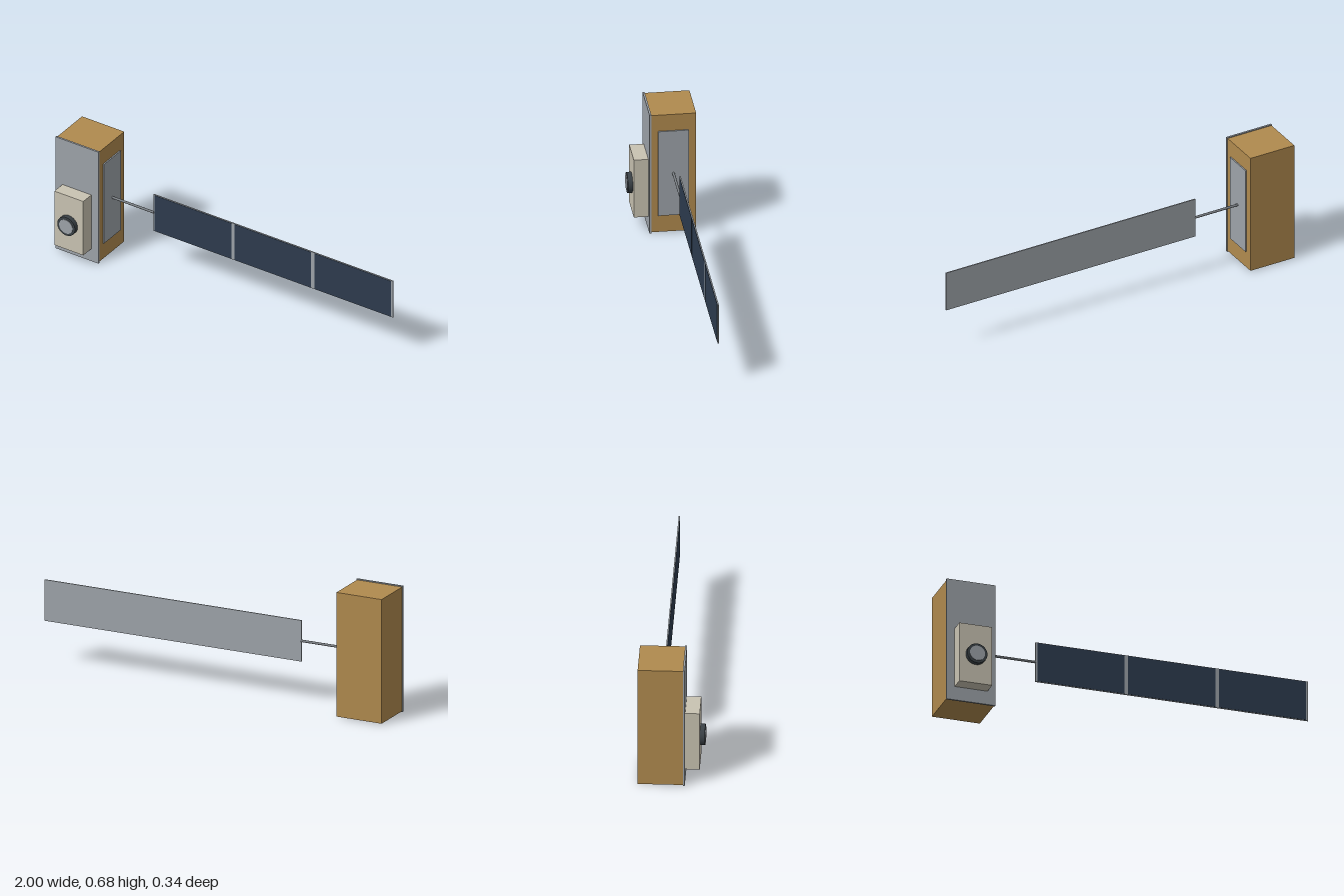
import * as THREE from 'three';

const mat = (name, color) => {
  const m = new THREE.MeshStandardMaterial({ color });
  m.name = name;
  return m;
};

export function createModel() {
  const gold = mat('gold foil', 0xb08a4e);
  const grey = mat('panel grey', 0x9da3a9);
  const cream = mat('instrument cream', 0xc9c3b2);
  const navy = mat('solar cell navy', 0x2d3b4e);
  const dark = mat('lens barrel dark', 0x3a4146);
  const steel = mat('boom steel', 0x777c81);

  const model = new THREE.Group();
  model.name = 'satellite';

  // Box given by its minimum and maximum corners
  const box = (name, material, [x0, y0, z0], [x1, y1, z1]) => {
    const mesh = new THREE.Mesh(new THREE.BoxGeometry(x1 - x0, y1 - y0, z1 - z0), material);
    mesh.position.set((x0 + x1) / 2, (y0 + y1) / 2, (z0 + z1) / 2);
    mesh.name = name;
    model.add(mesh);
  };

  // Cylinder lying along x or z, starting at the given point
  const rod = (name, material, radius, length, axis, [x, y, z]) => {
    const geo = new THREE.CylinderGeometry(radius, radius, length, 32);
    geo.translate(0, length / 2, 0);
    if (axis === 'x') geo.rotateZ(-Math.PI / 2);
    else geo.rotateX(Math.PI / 2);
    const mesh = new THREE.Mesh(geo, material);
    mesh.position.set(x, y, z);
    mesh.name = name;
    model.add(mesh);
  };

  // Body with its front and side plates
  box('body', gold, [-0.998, 0.005, -0.172], [-0.738, 0.675, 0.061]);
  box('frontPlate', grey, [-1, 0, 0.06], [-0.735, 0.68, 0.07]);
  box('sidePlate', grey, [-0.74, 0.1, -0.133], [-0.731, 0.583, 0.025]);

  // Instrument box and lens
  box('instrumentBox', cream, [-0.957, 0.075, 0.07], [-0.779, 0.404, 0.145]);
  rod('lensBarrel', dark, 0.0545, 0.026, 'z', [-0.868, 0.233, 0.144]);
  rod('lensGlass', grey, 0.041, 0.005, 'z', [-0.868, 0.233, 0.168]);

  // Boom and solar wing
  rod('boom', steel, 0.0065, 0.27, 'x', [-0.745, 0.34, -0.0535]);
  box('wingPanel', grey, [-0.478, 0.229, -0.057], [1, 0.451, -0.051]);
  for (let i = 0; i < 3; i++) {
    const x = -0.468 + i * 0.492;
    box('solarCell', navy, [x, 0.232, -0.0515], [x + 0.472, 0.448, -0.0495]);
  }

  return model;
}
